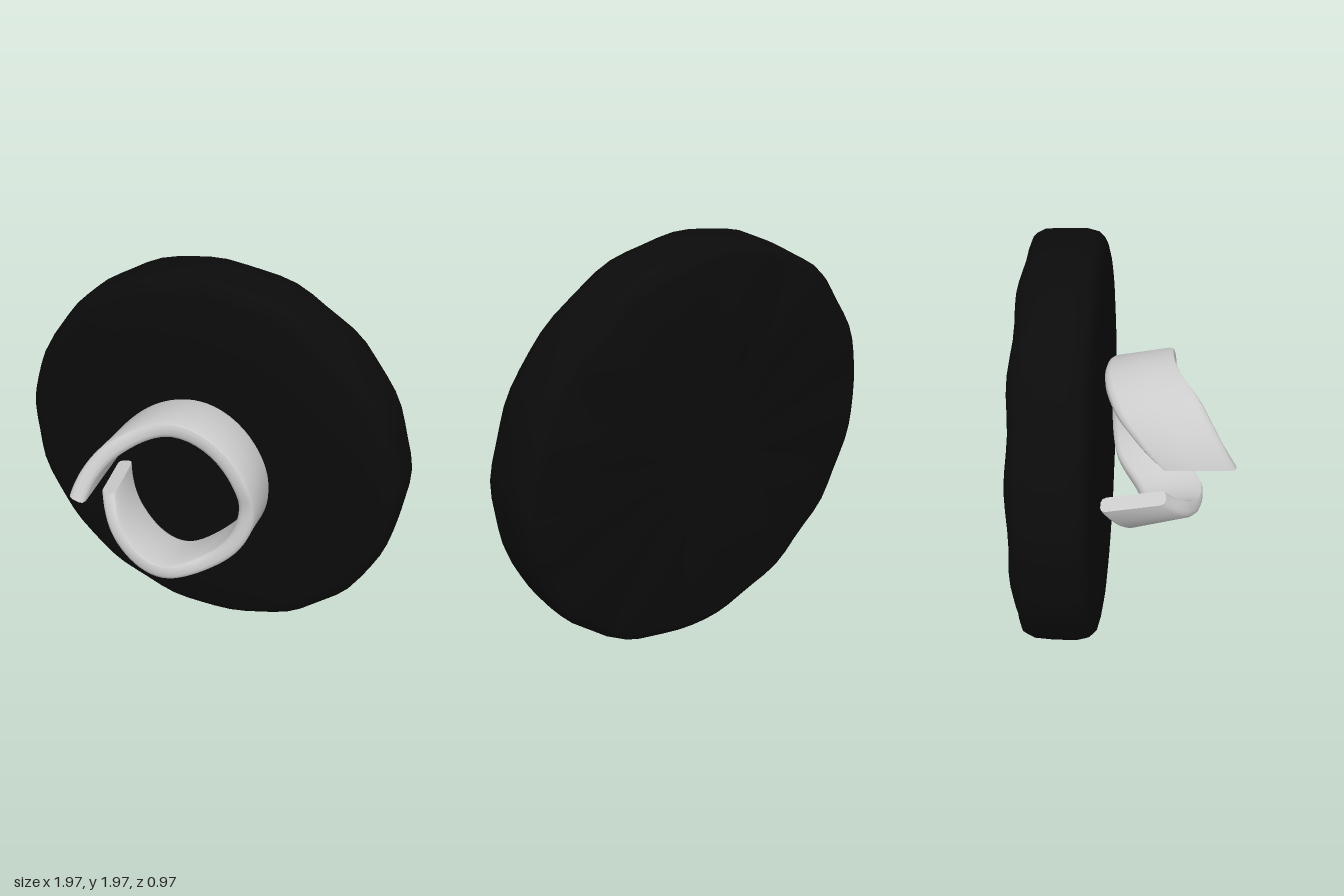
import * as THREE from 'three';
import { toCreasedNormals } from 'three/addons/utils/BufferGeometryUtils.js';

// Thick round plate with a softly rounded, slightly uneven rim
function makePlate() {
  const profile = [
    [0, -0.475], [0.5, -0.475], [0.92, -0.475], [0.96, -0.46], [0.98, -0.42], [0.985, -0.34],
    [0.985, -0.23], [0.972, -0.178], [0.945, -0.15], [0.9, -0.138], [0.5, -0.135], [0, -0.135],
  ].map(([r, z]) => new THREE.Vector2(r, z));
  const geo = new THREE.LatheGeometry(profile, 72);
  geo.rotateX(Math.PI / 2);
  const p = geo.attributes.position;
  for (let i = 0; i < p.count; i++) {
    const x = p.getX(i), y = p.getY(i), z = p.getZ(i);
    const a = Math.atan2(y, x), r = Math.hypot(x, y);
    const s = 1 + (r > 0.8 ? 0.004 * Math.sin(a * 17) + 0.003 * Math.sin(a * 11 + 1) : 0);
    const dz = z < -0.45 && r > 0.3 ? 0.006 * Math.sin(a * 13) : 0;
    p.setXYZ(i, x * s, y * s + 1.004, z + dz);
  }
  const plate = new THREE.Mesh(toCreasedNormals(geo, 0.9), new THREE.MeshStandardMaterial({ color: 0x0b0b0b }));
  plate.name = 'plate';
  return plate;
}

// Split band: angle, front radius, front z, back radius, back z along its sweep
const STATIONS = [
  [195, 0.42, 0.17, 0.475, -0.13],
  [225, 0.395, 0.29, 0.465, -0.03],
  [270, 0.38, 0.35, 0.445, 0.04],
  [310, 0.385, 0.25, 0.42, -0.1],
  [360, 0.41, 0.19, 0.37, -0.12],
  [390, 0.42, 0.2, 0.38, -0.09],
  [450, 0.43, 0.2, 0.37, -0.13],
  [486, 0.425, 0.33, 0.39, -0.08],
  [510, 0.415, 0.42, 0.41, 0.03],
  [527, 0.405, 0.485, 0.43, 0.15],
];

function sampleStations(t) {
  const f = t * (STATIONS.length - 1), k = Math.min(Math.floor(f), STATIONS.length - 2), u = f - k;
  const at = (i) => STATIONS[Math.max(0, Math.min(STATIONS.length - 1, i))];
  return STATIONS[0].map((_, c) => {
    const [a, b, d, e] = [at(k - 1)[c], at(k)[c], at(k + 1)[c], at(k + 2)[c]];
    return b + 0.5 * u * (d - a + u * (2 * a - 5 * b + 4 * d - e + u * (3 * (b - d) + e - a)));
  });
}

function makeBand() {
  const THICK = 0.082, STEPS = 84;
  // Rounded section: w runs back to front, d runs outside to inside
  const section = [
    [0.08, 0], [0.5, 0], [0.92, 0], [0.98, 0.1], [1, 0.3], [1, 0.7], [0.98, 0.9], [0.92, 1],
    [0.5, 1], [0.08, 1], [0.02, 0.9], [0, 0.7], [0, 0.3], [0.02, 0.1],
  ];
  const n = section.length, pos = [], index = [];
  for (let i = 0; i <= STEPS; i++) {
    const [deg, rF, zF, rB, zB] = sampleStations(i / STEPS);
    const a = THREE.MathUtils.degToRad(deg);
    for (const [w, d] of section) {
      const r = THREE.MathUtils.lerp(rB, rF, w) - d * THICK;
      pos.push(r * Math.cos(a), 1.02 + r * Math.sin(a), THREE.MathUtils.lerp(zB, zF, w));
    }
  }
  for (let i = 0; i < STEPS; i++) {
    for (let j = 0; j < n; j++) {
      const a = i * n + j, b = i * n + (j + 1) % n;
      index.push(a, a + n, b, b, a + n, b + n);
    }
  }
  // End caps
  const last = STEPS * n;
  for (let j = 1; j < n - 1; j++) {
    index.push(0, j, j + 1, last, last + j + 1, last + j);
  }
  const geo = new THREE.BufferGeometry();
  geo.setAttribute('position', new THREE.Float32BufferAttribute(pos, 3));
  geo.setIndex(index);
  const band = new THREE.Mesh(
    toCreasedNormals(geo, 0.9),
    new THREE.MeshStandardMaterial({ color: 0xcccccc, side: THREE.DoubleSide }),
  );
  band.name = 'splitBand';
  return band;
}

export function createModel() {
  const group = new THREE.Group();
  group.name = 'plateWithSplitBand';
  group.add(makePlate(), makeBand());
  return group;
}
